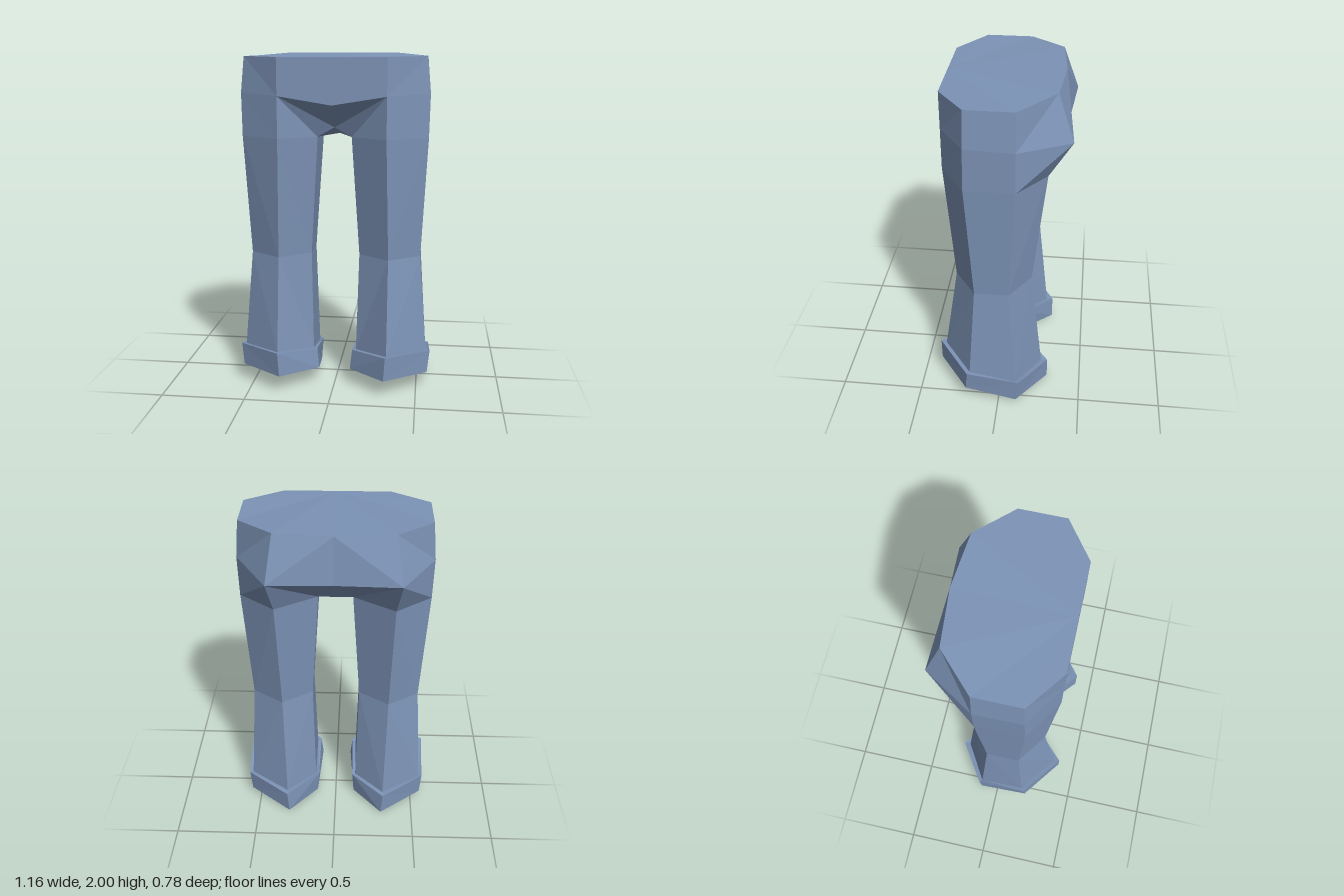
import * as THREE from 'three';

// Half-model on the +x side; every face is mirrored to the other side.
function facesToGeometry(faces, side) {
  const pos = [];
  for (const face of faces) {
    for (let i = 1; i < face.length - 1; i++) {
      const tri = [face[0], face[i], face[i + 1]];
      if (side < 0) tri.reverse();
      for (const [x, y, z] of tri) pos.push(x * side, y, z);
    }
  }
  const geometry = new THREE.BufferGeometry();
  geometry.setAttribute('position', new THREE.Float32BufferAttribute(pos, 3));
  geometry.computeVertexNormals();
  return geometry;
}

// Quads between two matching cross-sections
function loft(lower, upper, closed = true) {
  const faces = [];
  const n = lower.length;
  for (let i = 0; i < (closed ? n : n - 1); i++) {
    const j = (i + 1) % n;
    faces.push([lower[i], lower[j], upper[j], upper[i]]);
  }
  return faces;
}

// Shrinks a ring towards its centre and lifts it
function inset(ring, scale, lift) {
  const c = [0, 1, 2].map(k => ring.reduce((s, p) => s + p[k], 0) / ring.length);
  return ring.map(p => p.map((v, k) => c[k] + (v - c[k]) * scale + (k === 1 ? lift : 0)));
}

export function createModel() {
  const group = new THREE.Group();
  group.name = 'trousers';
  const denim = new THREE.MeshStandardMaterial({ color: 0x7d94b7 });
  denim.name = 'denim blue';
  denim.flatShading = true;

  // Leg rings: front, outer front, outer back, back, inner back, inner front
  const thigh = [[0.31, 1.52, 0.33], [0.545, 1.52, 0.18], [0.545, 1.52, -0.1],
    [0.34, 1.52, -0.26], [0.1, 1.515, -0.1], [0.1, 1.52, 0.18]];
  const knee = [[0.325, 0.81, 0.27], [0.51, 0.81, 0.14], [0.51, 0.81, -0.06],
    [0.325, 0.81, -0.18], [0.145, 0.81, -0.06], [0.145, 0.81, 0.14]];
  const ankle = [[0.325, 0.245, 0.355], [0.555, 0.225, 0.175], [0.55, 0.165, -0.105],
    [0.31, 0.14, -0.25], [0.13, 0.165, -0.105], [0.13, 0.215, 0.175]];
  const cuffTop = [[0.32, 0.25, 0.39], [0.58, 0.23, 0.19], [0.57, 0.17, -0.12],
    [0.31, 0.14, -0.29], [0.11, 0.17, -0.12], [0.108, 0.215, 0.19]];
  const cuffBase = [[0.31, 0.105, 0.39], [0.565, 0.098, 0.2], [0.56, 0.023, -0.11],
    [0.3, 0, -0.29], [0.12, 0.023, -0.11], [0.095, 0.095, 0.2]];

  // Hip rings: front centre, front, outer front, outer back, back, back centre
  const hip = [[0, 1.71, 0.33], [0.31, 1.76, 0.33], [0.55, 1.77, 0.175],
    [0.55, 1.76, -0.1], [0.365, 1.74, -0.39], [0, 1.73, -0.36]];
  const waist = [[0, 1.975, 0.33], [0.31, 1.975, 0.33], [0.53, 1.98, 0.17],
    [0.53, 1.98, -0.1], [0.325, 2, -0.3], [0, 2, -0.33]];
  const crotchFront = [0, 1.575, 0.18];
  const crotchBack = [0, 1.515, -0.1];

  const hipFaces = [
    ...loft(hip, waist, false),
    waist,
    ...loft(thigh.slice(0, 4), hip.slice(1, 5), false),
    [thigh[5], thigh[0], hip[1]],
    [thigh[3], thigh[4], hip[4]],
    [crotchFront, thigh[5], hip[1], hip[0]],
    [thigh[5], crotchFront, crotchBack, thigh[4]],
    [thigh[4], crotchBack, hip[5], hip[4]],
  ];
  const legFaces = [...loft(knee, thigh), ...loft(ankle, knee)];

  // Cuff with a lip on top and a shallow recessed sole
  const rim = inset(cuffBase, 0.96, 0);
  const sole = inset(cuffBase, 0.96, 0.012);
  const cuffFaces = [
    ...loft(cuffBase, cuffTop),
    ...loft(cuffTop, ankle),
    ...loft(rim, cuffBase),
    ...loft(sole, rim),
    [...sole].reverse(),
  ];

  for (const [label, side] of [['left', 1], ['right', -1]]) {
    for (const [part, faces] of [['Hip', hipFaces], ['Leg', legFaces], ['Cuff', cuffFaces]]) {
      const mesh = new THREE.Mesh(facesToGeometry(faces, side), denim);
      mesh.name = label + part;
      group.add(mesh);
    }
  }
  return group;
}
